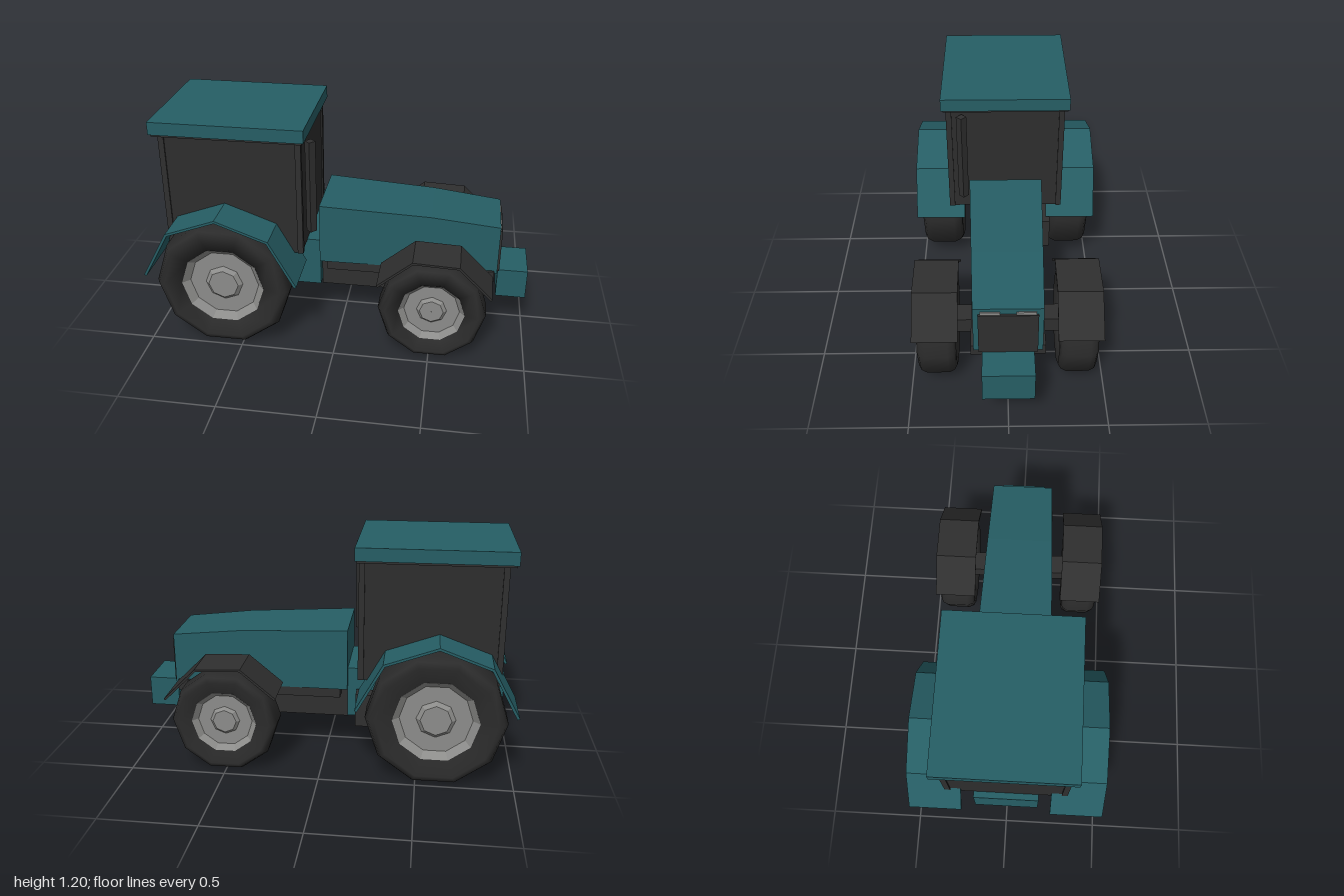
import * as THREE from 'three';

const paint = (name, color, extra = {}) => {
  const m = new THREE.MeshStandardMaterial({ color, ...extra });
  m.name = name;
  return m;
};

export function createModel() {
  const teal = paint('teal paint', 0x265e65);
  const dark = paint('dark metal', 0x2f2f2f);
  const glass = paint('dark glass', 0x2d2d2d);
  const rubber = paint('rubber', 0x2b2b2b);
  const grey = paint('grey rim', 0x8c8c8a);
  const model = new THREE.Group();
  model.name = 'tractor';

  const add = (name, geometry, material, parent = model) => {
    const mesh = new THREE.Mesh(geometry, material);
    mesh.name = name;
    parent.add(mesh);
    return mesh;
  };
  // Box given by its limits on each axis
  const box = (name, material, x0, x1, y0, y1, z0, z1) => {
    const mesh = add(name, new THREE.BoxGeometry(x1 - x0, y1 - y0, z1 - z0), material);
    mesh.position.set((x0 + x1) / 2, (y0 + y1) / 2, (z0 + z1) / 2);
    return mesh;
  };
  // Side outline extruded between two z values
  const slab = (points, z0, z1) => {
    const shape = new THREE.Shape(points.map(([x, y]) => new THREE.Vector2(x, y)));
    const g = new THREE.ExtrudeGeometry(shape, { depth: z1 - z0, bevelEnabled: false });
    return g.translate(0, 0, z0);
  };
  // Ten-sided profile turned about the z axis
  const turned = (points, flat, sides = 10) => {
    const g = new THREE.LatheGeometry(points.map(([r, h]) => new THREE.Vector2(r, h)), sides, Math.PI / 2);
    g.rotateX(Math.PI / 2);
    if (!flat) return g;
    const f = g.toNonIndexed();
    f.computeVertexNormals();
    return f;
  };

  // Cab: glass body, corner pillars and roof
  box('cabGlass', glass, -0.912, -0.193, 0.5, 1.13, -0.312, 0.312);
  for (const z of [-0.305, 0.305]) {
    for (const x of [-0.905, -0.2]) {
      box('cabPillar', dark, x - 0.015, x + 0.015, 0.5, 1.13, z - 0.015, z + 0.015);
    }
  }
  box('roofLip', dark, -0.95, -0.175, 1.125, 1.137, -0.335, 0.335);
  box('roof', teal, -0.96, -0.165, 1.137, 1.205, -0.345, 0.345);

  // Transmission housing under the cab
  box('rearBody', teal, -0.945, -0.12, 0.228, 0.505, -0.172, 0.172);
  box('step', dark, -0.4, -0.17, 0.207, 0.39, -0.26, -0.185);

  // Hood, narrowing towards the nose
  const hood = slab([[-0.12, 0.39], [0.835, 0.38], [0.835, 0.655], [0.47, 0.695], [-0.12, 0.725]], -0.2, 0.2);
  const p = hood.attributes.position;
  for (let i = 0; i < p.count; i++) {
    p.setZ(i, p.getZ(i) * (1 - 0.15 * (p.getX(i) + 0.12) / 0.955));
  }
  hood.computeVertexNormals();
  add('hood', hood, teal);
  box('grille', dark, 0.83, 0.847, 0.38, 0.622, -0.145, 0.145);
  for (const s of [-1, 1]) {
    const lamp = box('headlight', grey, 0.834, 0.842, 0.615, 0.637, -0.048, 0.048);
    lamp.position.z = s * 0.087;
  }

  // Chassis and nose weight
  box('chassis', dark, -0.12, 0.82, 0.2, 0.395, -0.12, 0.12);
  box('upperFrame', dark, -0.08, 0.82, 0.335, 0.395, -0.185, 0.185);
  box('frontWeight', teal, 0.84, 1.0, 0.214, 0.378, -0.128, 0.128);
  box('frontAxle', dark, 0.447, 0.56, 0.23, 0.315, -0.28, 0.28);
  box('rearAxle', dark, -0.655, -0.535, 0.295, 0.415, -0.32, 0.32);

  // Exhaust stack beside the cab
  const exhaust = new THREE.CylinderGeometry(0.028, 0.028, 0.51, 4).toNonIndexed();
  exhaust.computeVertexNormals();
  add('exhaust', exhaust, dark).position.set(-0.153, 0.855, 0.236);

  // Wheels: tyre, dished rim and hub
  const wheel = (name, x, y, z, R, rim, w) => {
    const group = new THREE.Group();
    group.name = name;
    group.position.set(x, y, z);
    model.add(group);
    add('tyre', turned([
      [rim, -0.75 * w], [R * 0.86, -w], [R * 0.95, -0.87 * w], [R, -0.58 * w],
      [R, 0.58 * w], [R * 0.95, 0.87 * w], [R * 0.86, w], [rim, 0.75 * w], [rim, -0.75 * w],
    ], false), rubber, group);
    add('rim', turned([
      [0.001, -0.45 * w], [rim * 0.84, -0.45 * w], [rim, -0.76 * w],
      [rim, 0.76 * w], [rim * 0.84, 0.45 * w], [0.001, 0.45 * w],
    ], true), grey, group);
    add('hub', turned([
      [0.001, -0.62 * w], [rim * 0.36, -0.62 * w], [rim * 0.46, -0.44 * w],
      [rim * 0.46, 0.44 * w], [rim * 0.36, 0.62 * w], [0.001, 0.62 * w],
    ], true, 8), grey, group);
  };

  // Folded sheet mudguard following a bent path
  const fender = (name, path, thick, z0, z1, material) => {
    const inner = path.map(([x, y], i) => {
      const a = path[Math.max(i - 1, 0)], b = path[Math.min(i + 1, path.length - 1)];
      const dx = b[0] - a[0], dy = b[1] - a[1], l = Math.hypot(dx, dy);
      return [x + dy / l * thick, y - dx / l * thick];
    });
    add(name, slab([...path, ...inner.reverse()], z0, z1), material);
  };
  const rearArch = [[-1.0, 0.415], [-0.862, 0.667], [-0.597, 0.765], [-0.325, 0.665], [-0.186, 0.413]];
  const frontArch = [[0.22, 0.437], [0.4, 0.588], [0.637, 0.578], [0.808, 0.408]];

  for (const s of [-1, 1]) {
    const side = s > 0 ? 'left' : 'right';
    wheel(side + 'RearWheel', -0.595, 0.349, s * 0.373, 0.361, 0.222, 0.118);
    wheel(side + 'FrontWheel', 0.505, 0.272, s * 0.36, 0.28, 0.172, 0.1);
    const span = (a, b) => (s > 0 ? [a, b] : [-b, -a]);
    fender(side + 'RearFender', rearArch, 0.014, ...span(0.236, 0.515), teal);
    fender(side + 'FrontFender', frontArch, 0.012, ...span(0.248, 0.475), dark);
  }
  return model;
}
